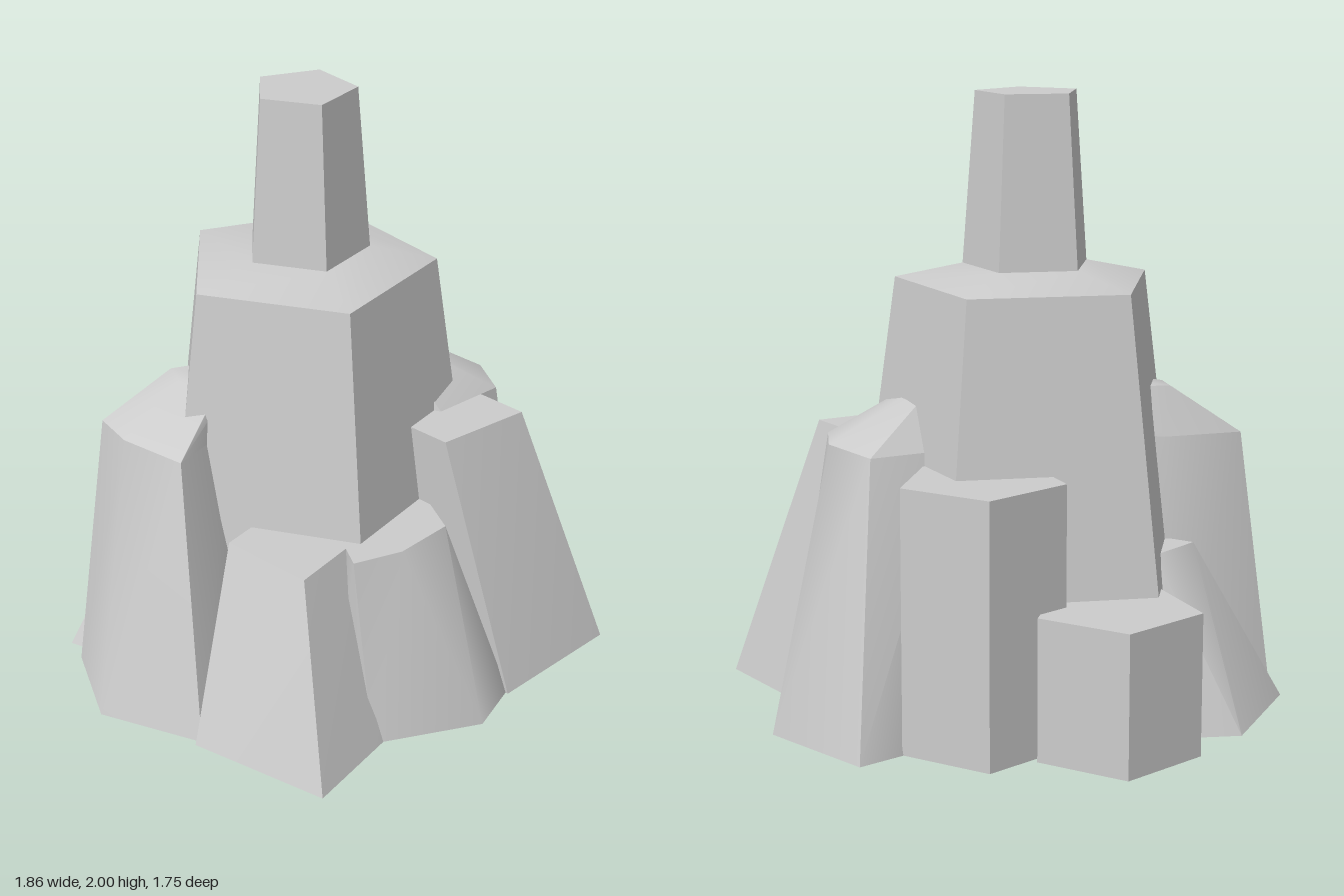
import * as THREE from 'three';
import { toCreasedNormals } from 'three/addons/utils/BufferGeometryUtils.js';

const material = new THREE.MeshStandardMaterial({ color: 0xcccccc });

// Regular polygon of [x, z] points, first corner at angle a
function polygon(cx, cz, r, a = 0, n = 5) {
  return Array.from({ length: n }, (_, i) => {
    const t = a + (i / n) * Math.PI * 2;
    return [cx + r * Math.cos(t), cz + r * Math.sin(t)];
  });
}

// Closed solid between a lower and an upper outline with the same corner count
function frustum(lower, upper, y0, y1) {
  const n = lower.length;
  const area = lower.reduce((s, p, i) => {
    const q = lower[(i + 1) % n];
    return s + p[0] * q[1] - q[0] * p[1];
  }, 0);
  if (area < 0) {
    lower = [...lower].reverse();
    upper = [...upper].reverse();
  }
  const at = (p, y) => [p[0], y, p[1]];
  const mid = (ps, y) => [0, 1].map(k => ps.reduce((s, p) => s + p[k], 0) / n).toSpliced(1, 0, y);
  const c0 = mid(lower, y0), c1 = mid(upper, y1);
  const pos = [];
  for (let i = 0; i < n; i++) {
    const j = (i + 1) % n;
    const a0 = at(lower[i], y0), b0 = at(lower[j], y0);
    const a1 = at(upper[i], y1), b1 = at(upper[j], y1);
    pos.push(...a0, ...a1, ...b0, ...b0, ...a1, ...b1); // side
    pos.push(...c1, ...b1, ...a1, ...c0, ...a0, ...b0); // top and bottom
  }
  const geo = new THREE.BufferGeometry();
  geo.setAttribute('position', new THREE.Float32BufferAttribute(pos, 3));
  return toCreasedNormals(geo, 0.95);
}

// Stack of frustums through rings of [height, outline]
function rock(name, ...rings) {
  const group = new THREE.Group();
  group.name = name;
  for (let i = 0; i + 1 < rings.length; i++) {
    const [y0, lower] = rings[i], [y1, upper] = rings[i + 1];
    const mesh = new THREE.Mesh(frustum(lower, upper, y0, y1), material);
    mesh.name = name + 'Section' + (i + 1);
    group.add(mesh);
  }
  return group;
}

export function createModel() {
  const model = new THREE.Group();
  model.name = 'rockSpire';

  // Central five-sided column: body, sloping shoulder and spire
  const core = r => polygon(-0.1, -0.165, r);
  model.add(rock('centralColumn',
    [0, core(0.626)], [1.4, core(0.434)], [1.45, core(0.213)], [2, core(0.172)]));

  // Upright five-sided pillars at the back
  for (const [name, x, h] of [['backPillar', -0.016, 0.85], ['lowBackPillar', -0.436, 0.46]]) {
    const outline = polygon(x, -0.62, 0.267, Math.atan2(-0.97, -0.24));
    model.add(rock(name, [0, outline], [h, outline]));
  }

  // Four-sided buttresses leaning inwards
  model.add(rock('leftButtress',
    [0, [[0.93, -0.03], [0.57, 0.32], [0.22, -0.04], [0.58, -0.39]]],
    [0.89, [[0.62, -0.04], [0.35, 0.165], [0.15, -0.04], [0.42, -0.25]]]));
  model.add(rock('frontButtress',
    [0, [[-0.48, 0.58], [-0.07, 0.875], [0.22, 0.46], [-0.19, 0.17]]],
    [0.62, [[-0.36, 0.33], [-0.12, 0.565], [0.09, 0.28], [-0.15, 0.05]]]));

  // Six-sided boulders, low ones with flat tops
  model.add(rock('frontLeftBoulder',
    [0, [[0.1, 0.59], [0.47, 0.49], [0.57, 0.3], [0.35, -0.1], [0, 0.05], [-0.03, 0.4]]],
    [0.62, [[0.04, 0.47], [0.2, 0.4], [0.35, 0.245], [0.28, 0], [0.08, 0], [0, 0.3]]]));
  model.add(rock('backRightBoulder',
    [0, [[-0.93, -0.03], [-0.82, -0.44], [-0.41, -0.55], [-0.1, -0.25], [-0.2, 0.15], [-0.63, 0.15]]],
    [0.55, [[-0.64, -0.16], [-0.53, -0.33], [-0.4, -0.36], [-0.3, -0.25], [-0.33, -0.08], [-0.5, -0.1]]]));

  // Tall boulders with sloping caps
  model.add(rock('backLeftBoulder',
    [0, [[0.32, -0.88], [0.65, -0.64], [0.68, -0.28], [0.4, -0.05], [0.05, -0.2], [0, -0.55]]],
    [0.89, [[0.34, -0.565], [0.51, -0.39], [0.55, -0.22], [0.35, -0.05], [0.1, -0.15], [0.1, -0.4]]],
    [1.08, [[0.18, -0.3], [0.21, -0.26], [0.23, -0.2], [0.2, -0.15], [0.14, -0.18], [0.12, -0.26]]]));
  model.add(rock('frontRightBoulder',
    [0, [[-0.89, 0.06], [-0.8, 0.4], [-0.46, 0.565], [-0.25, 0.3], [-0.25, -0.1], [-0.6, -0.13]]],
    [0.89, [[-0.78, -0.02], [-0.7, 0.12], [-0.51, 0.28], [-0.36, 0.05], [-0.36, -0.1], [-0.54, -0.13]]],
    [1.05, [[-0.55, -0.08], [-0.52, 0], [-0.39, 0.07], [-0.34, 0.02], [-0.36, -0.08], [-0.46, -0.11]]]));

  return model;
}
